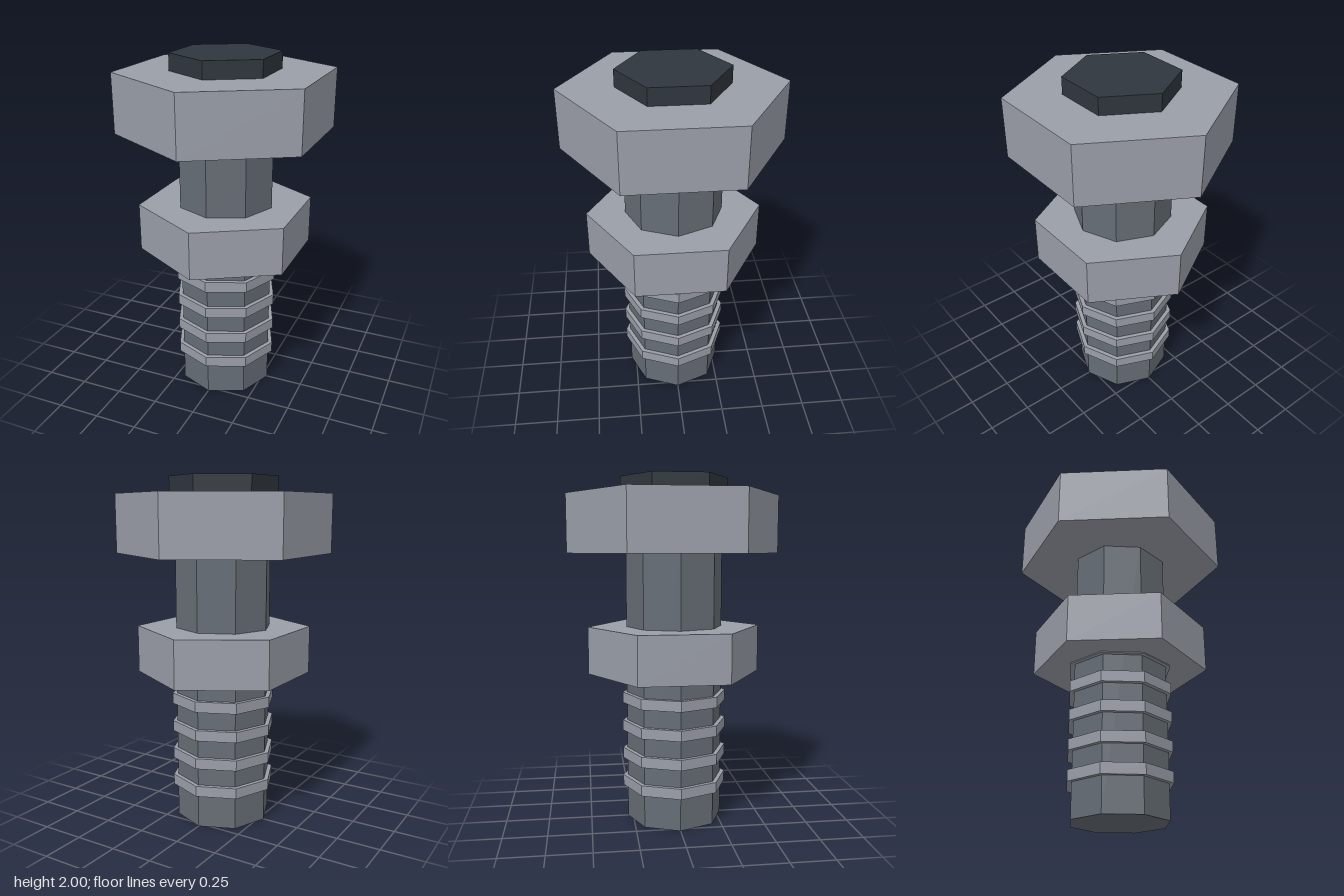
import * as THREE from 'three';

export function createModel() {
  const group = new THREE.Group();
  group.name = 'bolt';

  const material = (name, color) => {
    const m = new THREE.MeshStandardMaterial({ color, flatShading: true });
    m.name = name;
    return m;
  };
  const steel = material('light steel', 0x9a9ea8);
  const darkSteel = material('dark steel', 0x666d75);
  const black = material('blackened steel', 0x2f363d);

  // Upright prism with a corner facing the front, spanning y0 to y1
  const prism = (name, radius, sides, y0, y1, mat) => {
    const mesh = new THREE.Mesh(new THREE.CylinderGeometry(radius, radius, y1 - y0, sides), mat);
    mesh.name = name;
    mesh.position.y = (y0 + y1) / 2;
    group.add(mesh);
  };

  prism('shaft', 0.28, 8, 0, 1.6, darkSteel);
  prism('head', 0.615, 6, 1.57, 1.905, steel);
  prism('headCap', 0.308, 6, 1.88, 2, black);
  prism('nut', 0.503, 6, 0.873, 1.148, steel);

  // Thread ridges; the topmost one is mostly hidden in the nut
  for (let i = 0; i < 5; i++) {
    const y = 0.195 + i * 0.168;
    prism('threadRidge' + (i + 1), 0.306, 8, y, y + 0.062, steel);
  }

  return group;
}
